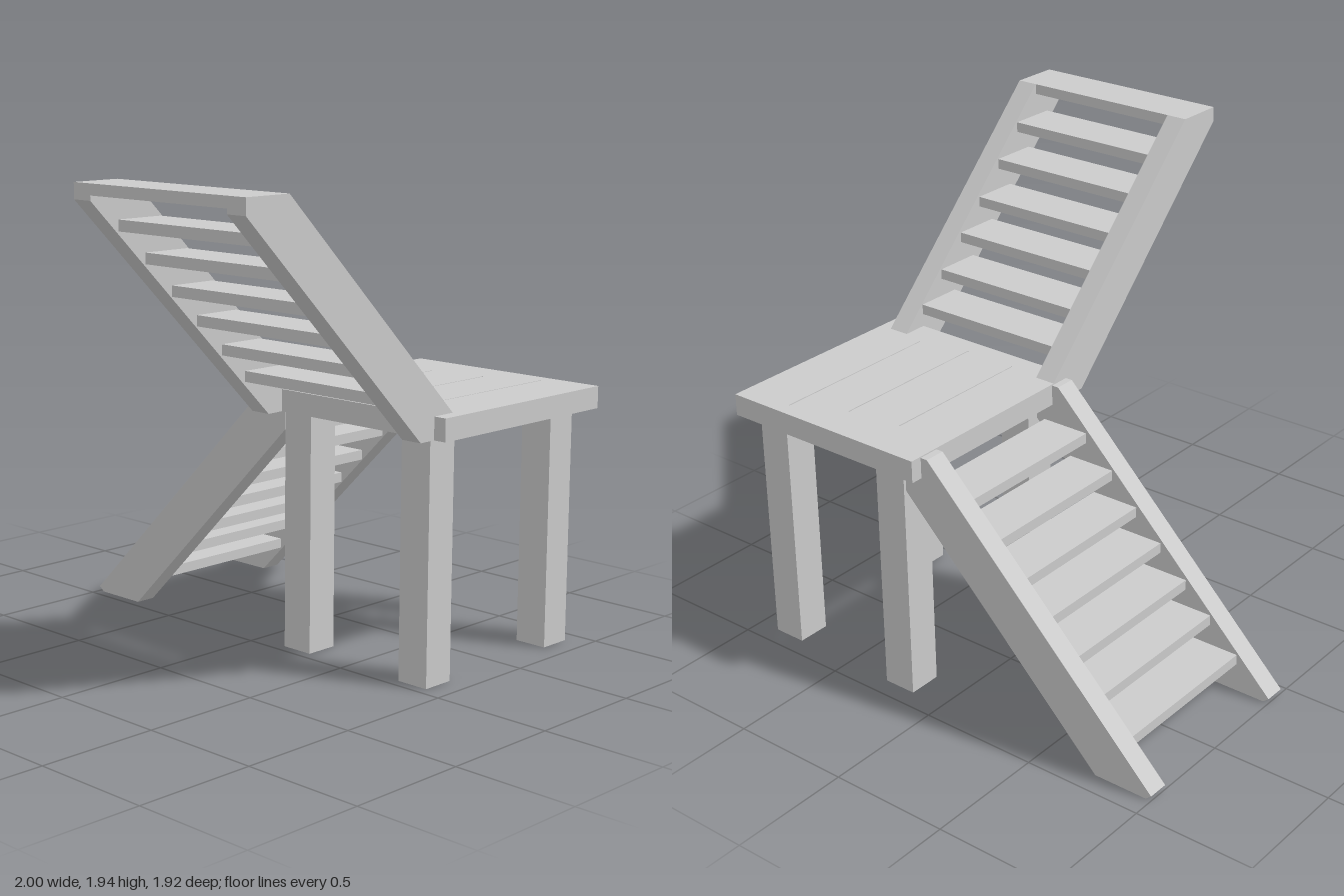
import * as THREE from 'three';

const material = new THREE.MeshStandardMaterial({ color: 0xcccccc, flatShading: true });

// Box given by its min and max corners
function box(name, x0, x1, y0, y1, z0, z1) {
  const mesh = new THREE.Mesh(new THREE.BoxGeometry(x1 - x0, y1 - y0, z1 - z0), material);
  mesh.position.set((x0 + x1) / 2, (y0 + y1) / 2, (z0 + z1) / 2);
  mesh.name = name;
  return mesh;
}

const points = (list) => list.map(([x, y]) => new THREE.Vector2(x, y));

function extrude(name, outline, depth, holes = []) {
  const shape = new THREE.Shape(points(outline));
  for (const hole of holes) shape.holes.push(new THREE.Path(points(hole)));
  const geometry = new THREE.ExtrudeGeometry(shape, { depth, bevelEnabled: false });
  const mesh = new THREE.Mesh(geometry, material);
  mesh.name = name;
  return mesh;
}

function createPlatform() {
  // Outline in x and -z, with narrow gaps between the four planks
  const gaps = [[0.303, 0.10, 0.77], [0.541, 0.09, 0.80], [0.762, 0.14, 0.90]].map(([x, a, b]) => [
    [x - 0.002, a], [x - 0.003, b], [x + 0.003, b], [x + 0.002, a],
  ]);
  const platform = extrude('platform', [[0.07, 0.015], [1, 0.015], [1, 0.96], [0.07, 0.96]], 0.09, gaps);
  platform.rotation.x = -Math.PI / 2;
  platform.position.y = 0.98;
  return platform;
}

function createLowerStair() {
  const stair = new THREE.Group();
  stair.name = 'lowerStair';
  // Side boards, cut level at the foot and upright at the leg
  const outline = [[-1, 0.02], [-0.975, 0], [-0.745, 0], [0.15, 0.9], [0.15, 0.98], [0.07, 0.98], [0.07, 1.065], [0.04, 1.065]];
  for (const z of [-0.91, -0.13]) {
    const board = extrude('lowerStringer', outline, 0.088);
    board.position.z = z;
    stair.add(board);
  }
  // Treads: front edge x and top y
  const treads = [[-0.845, 0.163], [-0.715, 0.295], [-0.595, 0.412], [-0.47, 0.535], [-0.35, 0.655], [-0.23, 0.78], [-0.1, 0.905]];
  for (const [x, y] of treads) stair.add(box('lowerTread', x, x + 0.21, y - 0.043, y, -0.822, -0.13));
  return stair;
}

function createUpperStair() {
  const stair = new THREE.Group();
  stair.name = 'upperStair';
  // Side boards drawn in z and y
  const outline = [[0.06, 0.98], [0.96, 1.875], [0.96, 1.937], [0.755, 1.937], [-0.12, 1.07], [-0.12, 0.982]];
  for (const x of [0.16, 0.946]) {
    const board = extrude('upperStringer', outline, 0.09);
    board.rotation.y = -Math.PI / 2;
    board.position.x = x;
    stair.add(board);
  }
  // Treads: back edge z and top y
  const treads = [[-0.015, 1.168], [0.11, 1.287], [0.24, 1.413], [0.365, 1.537], [0.495, 1.67], [0.625, 1.8], [0.755, 1.937]];
  for (const [z, y] of treads) stair.add(box('upperTread', 0.16, 0.856, y - 0.043, y, z, z + 0.205));
  return stair;
}

export function createModel() {
  const model = new THREE.Group();
  model.name = 'stairLanding';
  model.add(createPlatform(), createLowerStair(), createUpperStair());
  // Four square legs
  for (const x of [0.15, 0.763]) {
    for (const z of [-0.922, -0.185]) model.add(box('leg', x, x + 0.14, 0, 0.98, z, z + 0.14));
  }
  return model;
}
